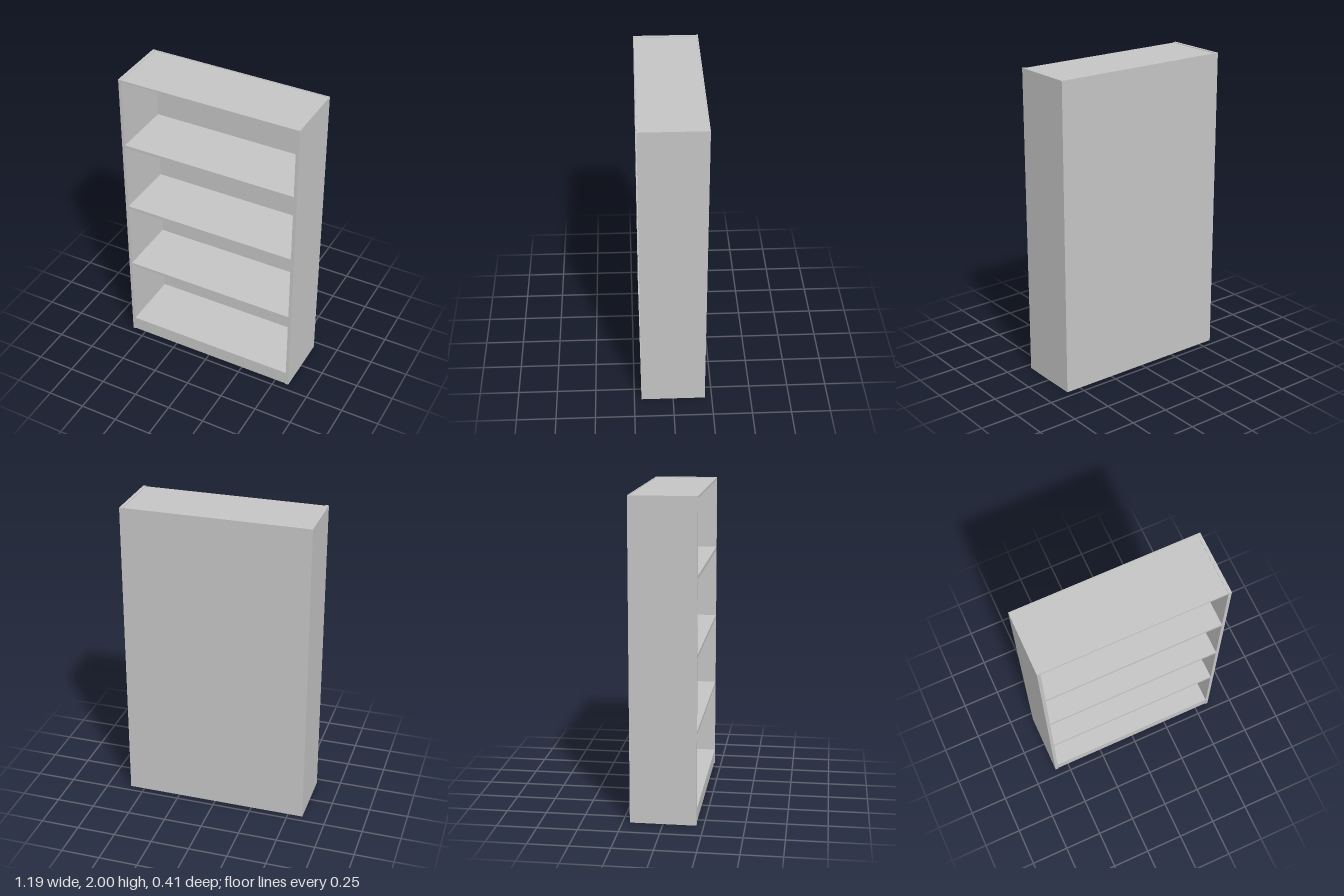
import * as THREE from 'three';

export function createModel() {
  const model = new THREE.Group();
  model.name = 'bookcase';
  const grey = new THREE.MeshStandardMaterial({ color: 0xc4c4c4 });
  grey.name = 'light grey';

  const W = 0.596, inner = 0.575;      // outer and inner half widths
  const front = 0.205, back = -0.205, backFace = -0.199;

  // Box given by its limits on each axis
  function panel(name, [x0, x1], [y0, y1], [z0, z1]) {
    const mesh = new THREE.Mesh(new THREE.BoxGeometry(x1 - x0, y1 - y0, z1 - z0), grey);
    mesh.position.set((x0 + x1) / 2, (y0 + y1) / 2, (z0 + z1) / 2);
    mesh.name = name;
    model.add(mesh);
  }

  // Full-height carcass
  panel('leftSide', [inner, W], [0, 2], [backFace, front]);
  panel('rightSide', [-W, -inner], [0, 2], [backFace, front]);
  panel('backPanel', [-W, W], [0, 2], [back, backFace]);

  // Shelves, flush with the front edges of the sides
  [0.079, 0.572, 1.043, 1.514].forEach((y, i) =>
    panel('shelf' + (i + 1), [-inner, inner], [y, y + 0.021], [backFace, front]));

  // Top board and closed plinth, both set back very slightly
  panel('top', [-inner, inner], [1.985, 1.997], [backFace, front - 0.002]);
  panel('plinth', [-inner, inner], [0, 0.079], [backFace, front - 0.004]);

  return model;
}
